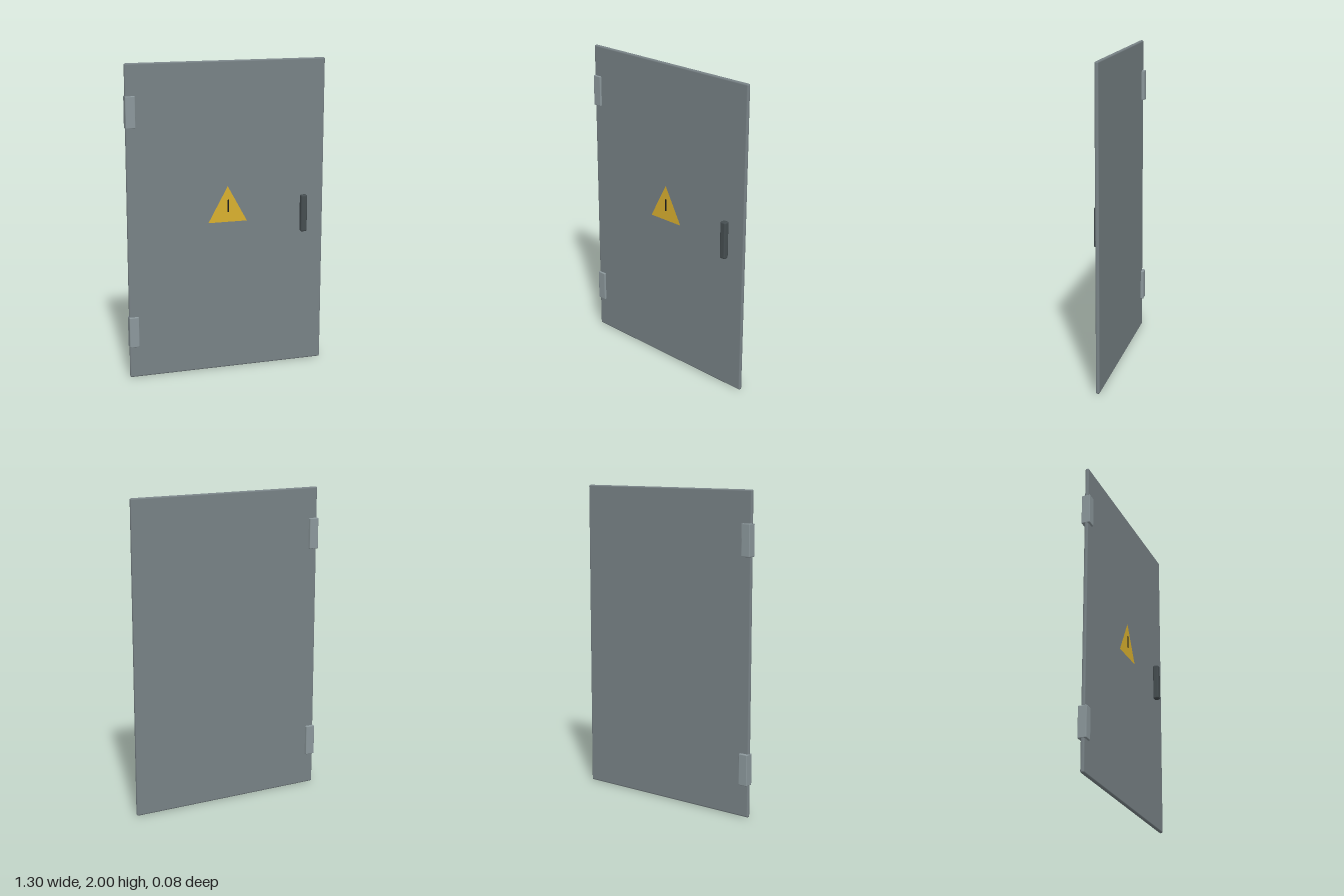
import * as THREE from 'three';
import { RoundedBoxGeometry } from 'three/addons/geometries/RoundedBoxGeometry.js';

const paint = (color, side = THREE.FrontSide) => new THREE.MeshStandardMaterial({ color, side });

export function createModel() {
  const group = new THREE.Group();

  const add = (name, geometry, material, x, y, z) => {
    const mesh = new THREE.Mesh(geometry, material);
    mesh.name = name;
    mesh.position.set(x, y, z);
    group.add(mesh);
  };

  // Door leaf with softened edges
  add('doorPanel', new RoundedBoxGeometry(1.298, 2, 0.024, 2, 0.01), paint(0x788286), 0, 1, -0.009);

  // Hinges wrapped around the right-hand edge
  const hingeMaterial = paint(0x8c989c);
  for (const [name, y] of [['lowerHinge', 0.303], ['upperHinge', 1.703]]) {
    add(name, new RoundedBoxGeometry(0.062, 0.198, 0.055, 2, 0.005), hingeMaterial, -0.619, y, -0.0125);
  }

  // Pull handle
  add('handle', new RoundedBoxGeometry(0.042, 0.242, 0.038, 2, 0.01), paint(0x454d50), 0.509, 1.004, 0.021);

  // Flat warning triangle and its dark bar
  const triangle = new THREE.Shape([
    new THREE.Vector2(-0.128, 0),
    new THREE.Vector2(0.128, 0),
    new THREE.Vector2(0, 0.231),
  ]);
  add('warningTriangle', new THREE.ShapeGeometry(triangle), paint(0xd9b02f, THREE.DoubleSide), 0, 0.979, 0.009);
  add('warningBar', new THREE.PlaneGeometry(0.012, 0.08), paint(0x1c1c1c, THREE.DoubleSide), 0.002, 1.083, 0.012);

  return group;
}
